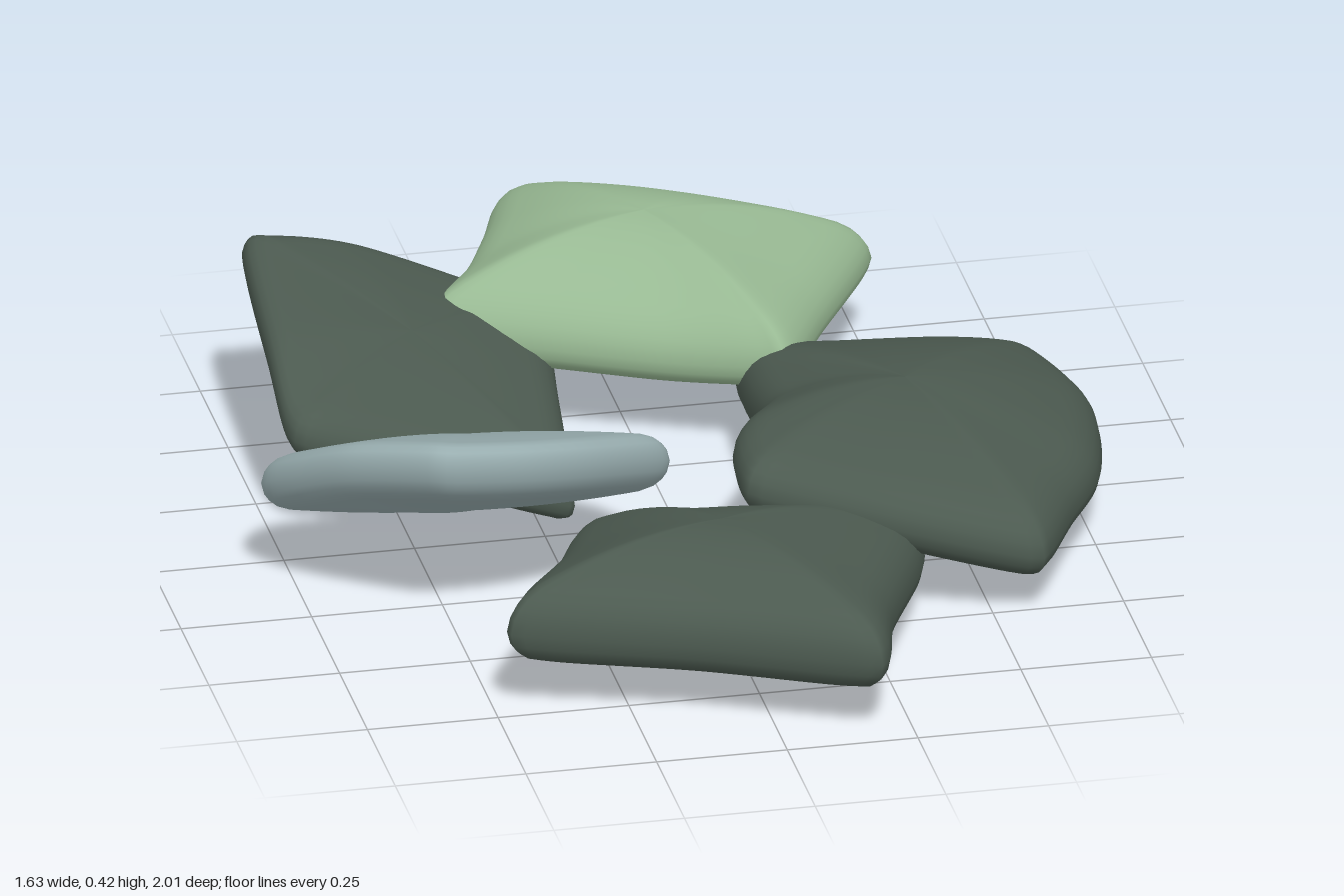
import * as THREE from 'three';

const paint = (name, color) => {
  const m = new THREE.MeshStandardMaterial({ color });
  m.name = name;
  return m;
};

// Pebble: closed rim line [x, y, z] (counterclockwise from above), crowned above and below.
// top / bottom = crown heights at the centre, edge = half thickness near the rim.
function pebble(name, material, rim, top, bottom, edge) {
  const n = 112;
  const curve = new THREE.CatmullRomCurve3(rim.map((p) => new THREE.Vector3(...p)), true, 'catmullrom', 0.45);
  const line = curve.getSpacedPoints(n).slice(0, n);
  const centre = line.reduce((c, p) => c.addScaledVector(p, 1 / n), new THREE.Vector3());

  // Cross-section from the bottom centre, round the rim, to the top centre
  const steps = [0, 0.1, 0.2, 0.3, 0.4, 0.5, 0.6, 0.7, 0.8, 0.86, 0.92, 0.96, 0.985];
  const height = (s, crown) => {
    const k = Math.max(0, (s - 0.86) / 0.14);
    return edge * Math.sqrt(1 - k * k) + (crown - edge) * (1 - s * s);
  };
  const section = [
    ...steps.map((s) => [s, -height(s, bottom)]),
    [1, 0],
    ...[...steps].reverse().map((s) => [s, height(s, top)]),
  ];

  const positions = [], index = [];
  section.forEach(([s, h], j) => {
    line.forEach((p, i) => {
      const q = centre.clone().lerp(p, s);
      positions.push(q.x, q.y + h, q.z);
      if (j === section.length - 1) return;
      const a = j * n + i, b = j * n + (i + 1) % n;
      if (j > 0) index.push(a, b, b + n);
      if (j < section.length - 2) index.push(a, b + n, a + n);
      else index.push(a, b, a + n);
    });
  });
  const geometry = new THREE.BufferGeometry();
  geometry.setAttribute('position', new THREE.Float32BufferAttribute(positions, 3));
  geometry.setIndex(index);
  geometry.computeVertexNormals();
  const mesh = new THREE.Mesh(geometry, material);
  mesh.name = name;
  return mesh;
}

export function createModel() {
  const dark = paint('dark slate', 0x4c5a50);
  const green = paint('sage green', 0x98b993);
  const blue = paint('blue grey', 0x99aeb0);
  const group = new THREE.Group();
  group.name = 'stoneRing';

  // Square green stone at the back
  group.add(pebble('greenStone', green, [
    [0.51, 0.19, -0.66], [0.5, 0.19, -0.71], [0.3, 0.21, -0.8], [0.1, 0.21, -0.91], [-0.08, 0.2, -1.0],
    [-0.14, 0.2, -0.98], [-0.2, 0.21, -0.82], [-0.28, 0.21, -0.65], [-0.385, 0.22, -0.49], [-0.375, 0.22, -0.45],
    [-0.18, 0.21, -0.38], [0.05, 0.2, -0.29], [0.22, 0.21, -0.21], [0.27, 0.21, -0.205], [0.37, 0.2, -0.4],
  ], 0.17, 0.09, 0.045));

  // Large curved stone on the left side
  group.add(pebble('largeDarkStone', dark, [
    [0.81, 0.125, -0.05], [0.76, 0.12, -0.27], [0.71, 0.12, -0.32], [0.58, 0.12, -0.36], [0.37, 0.12, -0.385],
    [0.2, 0.14, -0.36], [0.17, 0.16, -0.2], [0.16, 0.2, 0], [0.13, 0.23, 0.1], [0.05, 0.28, 0.28],
    [0.03, 0.29, 0.44], [0.06, 0.285, 0.49], [0.3, 0.21, 0.52], [0.55, 0.145, 0.56], [0.6, 0.14, 0.54],
    [0.68, 0.135, 0.38], [0.77, 0.13, 0.2],
  ], 0.145, 0.085, 0.05));

  // Front stone
  group.add(pebble('frontDarkStone', dark, [
    [0.36, 0.12, 0.52], [0.38, 0.115, 0.42], [0.33, 0.11, 0.38], [0.1, 0.085, 0.29], [-0.08, 0.07, 0.24],
    [-0.21, 0.065, 0.195], [-0.26, 0.075, 0.25], [-0.34, 0.12, 0.46], [-0.475, 0.18, 0.73], [-0.45, 0.18, 0.775],
    [-0.15, 0.17, 0.865], [0.14, 0.165, 0.99], [0.2, 0.16, 0.975], [0.25, 0.15, 0.79],
  ], 0.17, 0.08, 0.055));

  // Blue stone on the right, tipped up toward the front
  group.add(pebble('blueStone', blue, [
    [-0.07, 0.24, 0.21], [-0.13, 0.165, 0.05], [-0.24, 0.115, -0.065], [-0.3, 0.11, -0.075], [-0.5, 0.125, -0.035],
    [-0.75, 0.18, 0.02], [-0.815, 0.22, 0.1], [-0.79, 0.275, 0.2], [-0.71, 0.345, 0.33], [-0.58, 0.39, 0.455],
    [-0.52, 0.39, 0.475], [-0.37, 0.37, 0.455], [-0.23, 0.335, 0.39], [-0.08, 0.275, 0.27],
  ], 0.08, 0.08, 0.05));

  // Tilted stone at the back right
  group.add(pebble('tiltedDarkStone', dark, [
    [-0.15, 0.12, -0.35], [-0.13, 0.16, -0.56], [-0.18, 0.18, -0.61], [-0.48, 0.31, -0.63], [-0.67, 0.365, -0.6],
    [-0.71, 0.365, -0.56], [-0.73, 0.31, -0.25], [-0.73, 0.24, -0.07], [-0.68, 0.22, -0.025],
    [-0.45, 0.14, -0.03], [-0.21, 0.05, -0.04], [-0.18, 0.045, -0.07],
  ], 0.09, 0.085, 0.045));

  return group;
}
